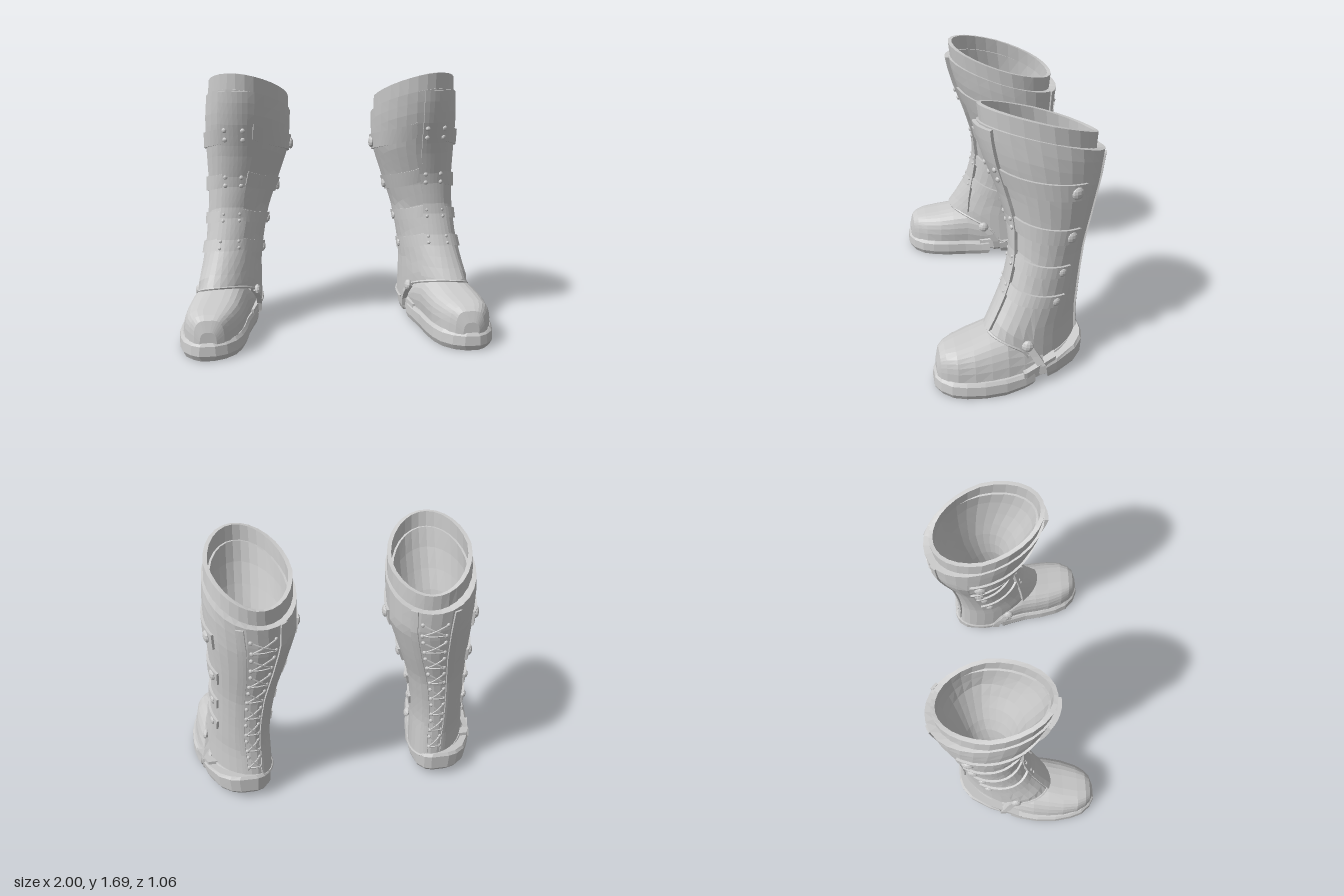
import * as THREE from 'three';

const mat = new THREE.MeshStandardMaterial({ color: 0xcccccc, flatShading: true, side: THREE.DoubleSide });
const V = (x, y, z) => new THREE.Vector3(x, y, z);
const lerp = THREE.MathUtils.lerp;
const steps = (n, f) => Array.from({ length: n + 1 }, (_, i) => f(i / n));

// Linear look-up in a table whose first column is the key
function row(table, key) {
  let i = 0;
  while (i < table.length - 2 && table[i + 1][0] < key) i++;
  const A = table[i], B = table[i + 1];
  const t = THREE.MathUtils.clamp((key - A[0]) / (B[0] - A[0]), 0, 1);
  return A.map((v, k) => lerp(v, B[k], t));
}

// Skin over closed loops of points; caps join point i with its opposite number
function loft(rings, capStart = true, capEnd = true) {
  const L = rings[0].length, pos = rings.flat(), idx = [];
  for (let r = 0; r < rings.length - 1; r++) for (let i = 0; i < L; i++) {
    const a = r * L + i, b = r * L + (i + 1) % L;
    idx.push(a, b, a + L, b, b + L, a + L);
  }
  const cap = (o, flip) => {
    for (let i = 0; i < L / 2 - 1; i++) {
      const a = o + i, b = o + i + 1, c = o + L - 2 - i, d = o + L - 1 - i;
      idx.push(...(flip ? [a, c, b, a, d, c] : [a, b, c, a, c, d]));
    }
  };
  if (capStart) cap(0, true);
  if (capEnd) cap((rings.length - 1) * L, false);
  let vol = 0;
  for (let i = 0; i < idx.length; i += 3)
    vol += pos[idx[i]].dot(V(0, 0, 0).crossVectors(pos[idx[i + 1]], pos[idx[i + 2]]));
  if (vol < 0) idx.reverse();
  const g = new THREE.BufferGeometry().setFromPoints(pos);
  g.setIndex(idx);
  g.computeVertexNormals();
  return g;
}

// Leg shape by height: y, inner x, outer x, front z, back z, x skew, z skew
const LEG = [
  [0.14, 0.487, 0.89, 0.2, -0.388, 0.07, 0.04], [0.35, 0.487, 0.875, 0.2, -0.378, 0.065, 0.03],
  [0.45, 0.483, 0.855, 0.145, -0.38, 0.05, 0.02], [0.6, 0.46, 0.832, 0.07, -0.39, 0.035, 0.015],
  [0.8, 0.42, 0.815, 0.022, -0.413, 0.03, 0.01], [1.0, 0.35, 0.812, 0.035, -0.46, 0.03, 0],
  [1.2, 0.282, 0.82, 0.095, -0.505, 0.025, 0], [1.4, 0.272, 0.82, 0.17, -0.53, 0.02, 0],
  [1.55, 0.272, 0.805, 0.21, -0.53, 0.02, 0], [1.7, 0.275, 0.795, 0.225, -0.53, 0.02, 0]];
const normal = (a, y) => {
  const [, xi, xo, zf, zb] = row(LEG, y);
  return V(Math.sin(a) / (xo - xi), 0, Math.cos(a) / (zf - zb)).normalize();
};
// Point on the leg: a = 0 is the front, a = PI / 2 the outer side
function leg(a, y, off = 0) {
  const [, xi, xo, zf, zb, sx, sz] = row(LEG, y), s = Math.sin(a), c = Math.cos(a);
  return V((xi + xo) / 2 + (xo - xi) / 2 * s + sx * c, y, (zf + zb) / 2 + (zf - zb) / 2 * c + sz * s)
    .addScaledVector(normal(a, y), off);
}
const hemY = a => { const c = Math.cos(a); return c > 0 ? 0.14 + 0.21 * Math.sqrt(c) : 0.14 - 0.03 * c; };
const rimY = a => { const p = leg(a, 1.5); return 1.525 + 0.3 * p.z + 0.15 * (p.x - 0.56); };
const SIDES = 28;
const around = f => Array.from({ length: SIDES }, (_, i) => f(i / SIDES * Math.PI * 2));

// Solid panel laid on the leg; f(u, v) gives [angle, height]
function panel(f, nu, nv, thick) {
  return loft(steps(nv, v => [
    ...steps(nu, u => leg(...f(u, v), thick)), ...steps(nu, u => leg(...f(1 - u, v), -0.006))]));
}

// Foot outline: z, inner x, outer x
const FOOT = [[-0.41, 0.58, 0.7], [-0.39, 0.535, 0.76], [-0.33, 0.495, 0.83], [-0.2, 0.48, 0.9],
  [-0.1, 0.493, 0.935], [0, 0.525, 0.97], [0.12, 0.555, 0.995], [0.25, 0.57, 1], [0.36, 0.595, 0.985],
  [0.44, 0.63, 0.96], [0.5, 0.69, 0.91], [0.53, 0.76, 0.86]];
function outline(z0, z1, inset, yOf) {
  const zs = [z0, ...FOOT.map(r => r[0]).filter(z => z > z0 + 0.005 && z < z1 - 0.005), z1];
  const zc = (z0 + z1) / 2, k = 1 - 2 * inset / (z1 - z0);
  const side = col => zs.map(z =>
    V(row(FOOT, z)[col] + (col === 1 ? inset : -inset), yOf(z), zc + (z - zc) * k));
  return [...side(2), ...side(1).reverse()];
}
const weltY = z => 0.11 + 0.2 * Math.max(0, -z);

function createBoot() {
  const boot = new THREE.Group();
  const add = (name, geo) => {
    const m = new THREE.Mesh(geo, mat);
    m.name = name;
    boot.add(m);
    return m;
  };
  const stud = (name, p, n, r, depth = 0.5) => {
    const m = add(name, new THREE.SphereGeometry(r, 10, 6));
    m.position.copy(p);
    m.quaternion.setFromUnitVectors(V(0, 0, 1), n);
    m.scale.z = depth;
  };
  const tube = (name, pts, r, n, closed = false) =>
    add(name, new THREE.TubeGeometry(new THREE.CatmullRomCurve3(pts, closed), n, r, 5, closed));

  // Shaft with a folded top edge and a turned-in hem over the foot
  add('shaft', loft([
    around(a => leg(a, hemY(a) + 0.01, -0.05)),
    ...steps(18, v => around(a => leg(a, lerp(hemY(a), rimY(a), v)))),
    around(a => leg(a, rimY(a), -0.05))], false, false));
  tube('hemTrim', around(a => leg(a, hemY(a), 0.001)), 0.009, 56, true);

  // Lining: collar above the shaft, inner wall and insole
  const inset = a => -0.012 - 0.035 * Math.max(0, -Math.cos(a));
  add('lining', loft([
    around(a => leg(a, rimY(a) - 0.05, inset(a))),
    around(a => leg(a, rimY(a) + 0.095, inset(a))),
    around(a => leg(a, rimY(a) + 0.095, inset(a) - 0.025)),
    ...steps(10, v => around(a => leg(a, lerp(rimY(a), 0.3, v), inset(a) - lerp(0.025, 0.06, v))))],
  false, true));

  // Shin plate, leaning outwards at the top: y, half width, centre angle
  const PLATE = [[0.36, 0.108, -0.2], [0.6, 0.075, 0], [0.85, 0.064, 0.08], [1.1, 0.072, 0.18], [1.57, 0.085, 0.26]];
  const plateAngle = (y, t) => {
    const r = row(LEG, y), [, half, mid] = row(PLATE, y);
    return mid + t * Math.asin(half * 2 / (r[2] - r[1]));
  };
  add('shinPlate', panel((u, v) => {
    const y = lerp(0.36, 1.58, v);
    return [plateAngle(y, 2 * u - 1), y];
  }, 6, 18, 0.022));

  // Side straps with buttons, and the plate's rivets: front y, end y, height, end angle
  const STRAPS = [[1.33, 1.205, 0.1, 2.1], [1.025, 0.925, 0.092, 2.12], [0.79, 0.705, 0.07, 2.08], [0.62, 0.515, 0.07, 2.1]];
  for (const [y0, y1, h, outerEnd] of STRAPS) for (const s of [1, -1]) {
    const end = s > 0 ? outerEnd : outerEnd - 0.35;
    const mid = u => lerp(y0, y1, Math.pow(u, 0.8));
    add('sideStrap', panel((u, v) => [s * lerp(0.2, end, u), mid(u) + (v - 0.5) * h], 14, 1, 0.014));
    const a = s * (end - 0.22), r = h * 0.38;
    stud('strapButton', leg(a, mid(0.9), 0.012), normal(a, y1), r);
    for (const dy of [-0.3, 0.3]) {
      const y = y0 - 0.02 + dy * h, b = plateAngle(y, s * 0.68);
      stud('plateRivet', leg(b, y, 0.022), normal(b, y), h * 0.16, 0.8);
    }
  }

  // Back placket with raised edges, turned slightly inwards
  const BACK = Math.PI + 0.12;
  const placket = y => lerp(0.3, 0.48, (y - 0.2) / 1.2);
  for (const s of [1, -1]) add('placketEdge', panel((u, v) => {
    const y = lerp(0.2, 1.36, v);
    return [BACK + s * (placket(y) + (u - 0.5) * 0.16), y];
  }, 2, 16, 0.01));

  // Crossed laces and eyelets
  for (let i = 0; i < 8; i++) {
    const y = 0.25 + i * 0.135, top = y + 0.08;
    const at = (s, h, off = 0.005) => leg(BACK + s * placket(h) * 0.6, h, off);
    for (const s of [1, -1]) {
      tube('lace', [at(s, y), leg(BACK, (y + top) / 2, 0.006 + s * 0.002), at(-s, top)], 0.005, 6);
      for (const h of [y, top])
        stud('eyelet', at(s, h, 0.003), normal(BACK + s * placket(h), h), 0.013, 0.7);
    }
    tube('laceBar', [at(1, y), leg(BACK, y, 0.005), at(-1, y)], 0.005, 4);
  }

  // Toe and instep: z, side inset, top height, roundness, lean of the top
  const VAMP = [[-0.12, 0.035, 0.24, 0.8, 0.03], [0, 0.03, 0.32, 0.75, 0.045], [0.1, 0.028, 0.35, 0.7, 0.038],
    [0.2, 0.025, 0.333, 0.68, 0.03], [0.3, 0.022, 0.308, 0.62, 0.015], [0.4, 0.022, 0.288, 0.57, 0],
    [0.46, 0.024, 0.272, 0.56, 0], [0.492, 0.026, 0.248, 0.56, 0], [0.512, 0.035, 0.18, 0.65, 0]];
  add('toeAndInstep', loft(VAMP.map(([z, ins, h, p, lean]) => {
    const [, xi, xo] = row(FOOT, z), base = weltY(z) - 0.02;
    return steps(15, t => {
      const c = Math.cos(t * Math.PI), s = Math.max(0, Math.sin(t * Math.PI)) ** p;
      return V((xi + xo) / 2 + ((xo - xi) / 2 - ins) * Math.sign(c) * Math.abs(c) ** p - lean * s,
        base + (h - base) * s, z);
    });
  })));

  // Sole, shank and heel: each layer is an inset and a height rule
  const slab = (name, z0, z1, layers) =>
    add(name, loft(layers.map(([ins, yOf]) => outline(z0, z1, ins, yOf))));
  const ground = z => 0.12 * Math.max(0, 0.08 - z);
  slab('sole', -0.06, 0.53, [
    [0.014, ground], [0, z => ground(z) + 0.035], [0.004, z => weltY(z) - 0.015], [0.018, z => weltY(z) + 0.004]]);
  slab('shank', -0.2, 0.02, [[0.03, () => 0.055], [0.006, () => 0.075], [0.006, z => weltY(z) + 0.02]]);
  slab('heel', -0.41, -0.13, [
    [0.016, z => 0.035 - 0.05 * (z + 0.13)], [0.004, () => 0.07],
    [0, z => weltY(z) - 0.02], [0.012, z => weltY(z)]]);

  // Strap that runs from the ankle buttons under the arch
  const PATH = [[0.885, 0.275, -0.02], [0.905, 0.2, -0.065], [0.925, 0.14, -0.1], [0.928, 0.085, -0.11],
    [0.89, 0.05, -0.11], [0.72, 0.045, -0.11], [0.53, 0.05, -0.11], [0.492, 0.085, -0.11],
    [0.489, 0.14, -0.1], [0.493, 0.2, -0.06], [0.51, 0.265, -0.01]];
  add('archStrap', loft(PATH.map(([x, y, z]) => {
    const out = V(x - 0.715, (y - 0.18) * 0.6, 0).normalize();
    return [[0.008, 0.024], [0.008, -0.024], [-0.025, -0.024], [-0.025, 0.024]]
      .map(([o, w]) => V(x, y, z + w).addScaledVector(out, o));
  })));
  stud('ankleButton', V(0.893, 0.272, -0.02), V(0.97, 0.2, 0.1).normalize(), 0.036, 0.6);
  stud('ankleButton', V(0.505, 0.262, -0.01), V(-0.97, 0.2, 0.1).normalize(), 0.036, 0.6);
  return boot;
}

export function createModel() {
  const model = new THREE.Group();
  model.name = 'bootPair';
  const left = createBoot(), right = createBoot();
  left.name = 'leftBoot';
  right.name = 'rightBoot';
  right.scale.x = -1;
  model.add(left, right);
  return model;
}
